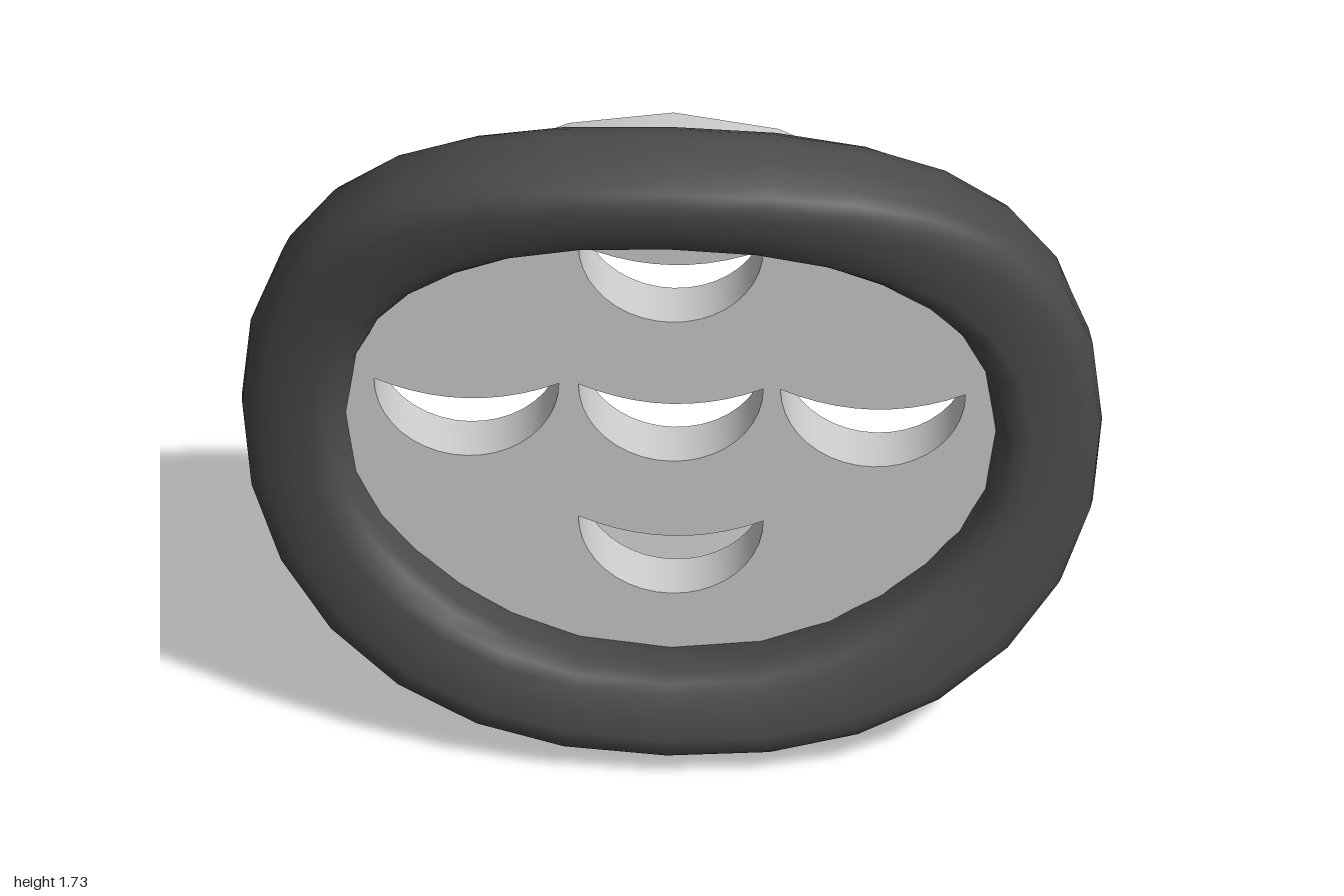
import * as THREE from 'three';
import { toCreasedNormals } from 'three/addons/utils/BufferGeometryUtils.js';

const CENTER_Y = 0.865;
const signedPow = (v, e) => Math.sign(v) * Math.pow(Math.abs(v), e);

// Closed saddle-shaped rim: a tilted, boxy rounded section swept round a superellipse
function rimGeometry(around = 28, sides = 20) {
  const RX = 0.862, RY = 0.739, pos = [], index = [];
  const path = (t) => new THREE.Vector2(
    RX * signedPow(Math.cos(t), 2 / 2.25), RY * signedPow(Math.sin(t), 2 / 2.25));
  for (let i = 0; i < around; i++) {
    const t = (i / around) * Math.PI * 2;
    const p = path(t);
    const tangent = path(t + 0.05).sub(path(t - 0.05)).normalize();
    const saddle = (p.y / RY) ** 2 - (p.x / RX) ** 2;
    const z = 0.0875 * saddle;
    const tilt = 0.3 * saddle;
    // The section is widest at the corners and narrowest at top and bottom
    const width = 0.122 - 0.007 * saddle + 0.016 * (1 - saddle * saddle);
    for (let j = 0; j < sides; j++) {
      const a = (j / sides) * Math.PI * 2;
      const u = width * signedPow(Math.cos(a), 0.65);
      const v = 0.134 * signedPow(Math.sin(a), 0.65);
      const out = u * Math.cos(tilt) - v * Math.sin(tilt);
      const depth = u * Math.sin(tilt) + v * Math.cos(tilt);
      pos.push(p.x + tangent.y * out, CENTER_Y + p.y - tangent.x * out, z + depth);
      const i2 = (i + 1) % around, j2 = (j + 1) % sides;
      const A = i * sides + j, B = i2 * sides + j, C = i2 * sides + j2, D = i * sides + j2;
      index.push(A, B, C, A, C, D);
    }
  }
  const g = new THREE.BufferGeometry();
  g.setAttribute('position', new THREE.Float32BufferAttribute(pos, 3));
  g.setIndex(index);
  g.computeVertexNormals();
  return g;
}

// Crescent cut-out: a half circle below a sagging top edge
function crescent(x, y) {
  const r = 0.215, h = new THREE.Path();
  h.moveTo(x - r, y);
  h.absarc(x, y, r, Math.PI, Math.PI * 2, false);
  h.quadraticCurveTo(x, y - 0.1, x - r, y);
  return h;
}

// Flat twenty-sided plate with five crescents cut through it
function plateGeometry() {
  const pts = [];
  for (let i = 0; i < 20; i++) {
    const a = (i / 20) * Math.PI * 2;
    pts.push(new THREE.Vector2(0.79 * Math.cos(a), CENTER_Y + 0.79 * Math.sin(a)));
  }
  const shape = new THREE.Shape(pts);
  for (const [x, y] of [[0, 0.965], [-0.475, 0.965], [0.47, 0.965], [0, 1.365], [0, 0.585]]) {
    shape.holes.push(crescent(x, y));
  }
  const g = new THREE.ExtrudeGeometry(shape, { depth: 0.135, bevelEnabled: false, curveSegments: 10 });
  g.translate(0, 0, -0.14);
  return toCreasedNormals(g, 0.5);
}

export function createModel() {
  const group = new THREE.Group();
  const rim = new THREE.Mesh(rimGeometry(), new THREE.MeshStandardMaterial({ color: 0x4a4a4a }));
  rim.name = 'rim';
  const plate = new THREE.Mesh(plateGeometry(), new THREE.MeshStandardMaterial({ color: 0xcccccc }));
  plate.name = 'perforatedPlate';
  group.add(rim, plate);
  return group;
}
